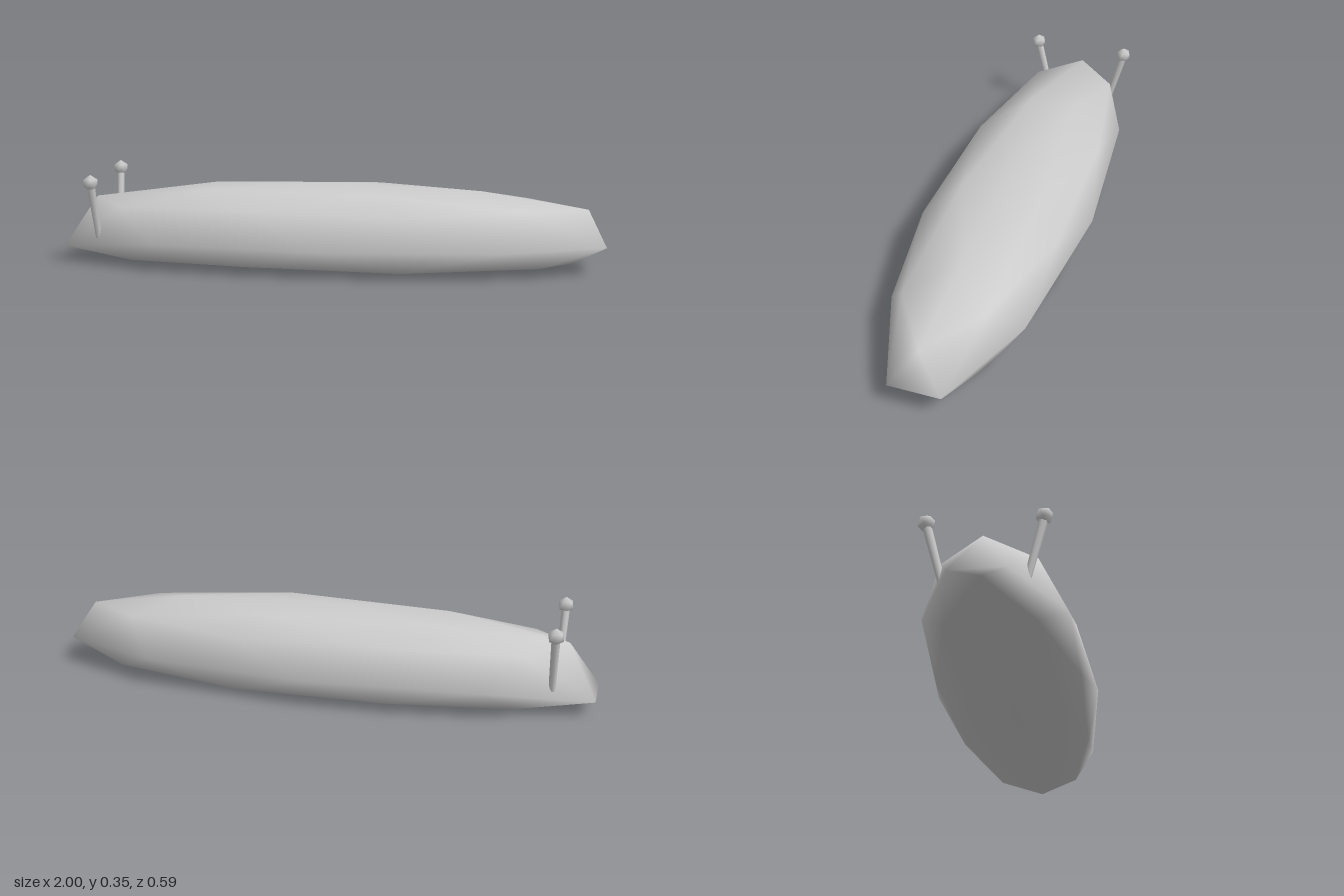
import * as THREE from 'three';
import { mergeVertices } from 'three/addons/utils/BufferGeometryUtils.js';

// Smooth icosphere with a vertex at each pole and one upper vertex towards +x
function icosphere(detail) {
  const g = new THREE.IcosahedronGeometry(1, detail);
  g.deleteAttribute('normal');
  g.deleteAttribute('uv');
  g.rotateZ(Math.atan(2 / (1 + Math.sqrt(5))));
  g.rotateY(Math.PI);
  return mergeVertices(g, 1e-3);
}

// Sphere height -> body height, with a flattened belly
const LEVELS = [
  [1, 0.308], [0.851, 0.285], [0.526, 0.237], [0.447, 0.225], [0, 0.105],
  [-0.447, 0.037], [-0.526, 0.025], [-0.851, 0.025], [-1, 0],
];
function bodyHeight(h) {
  return LEVELS.reduce((a, b) => (Math.abs(b[0] - h) < Math.abs(a[0] - h) ? b : a))[1];
}

function bodyGeometry() {
  const g = icosphere(1);
  const p = g.attributes.position;
  for (let i = 0; i < p.count; i++) {
    const x = p.getX(i), h = p.getY(i);
    let y = bodyHeight(h);
    // the head end dips to a low lip with a small hollow under it
    if (x < -0.94 && Math.abs(h) < 0.1) y = 0.06;
    if (x < -0.88 && h < -0.4) y = 0.07;
    p.setXYZ(i, x / 0.951, y, p.getZ(i) * 0.297);
  }
  g.computeVertexNormals();
  return g;
}

export function createModel() {
  const root = new THREE.Group();
  const skin = new THREE.MeshStandardMaterial({ color: 0xcccccc });
  skin.name = 'grey skin';

  const add = (geometry, name, parent) => {
    const mesh = new THREE.Mesh(geometry, skin);
    mesh.name = name;
    parent.add(mesh);
    return mesh;
  };

  add(bodyGeometry(), 'body', root);

  // Eye stalks, mirrored across the body
  const knobGeometry = icosphere(0);
  knobGeometry.computeVertexNormals();
  for (const side of [1, -1]) {
    const eye = new THREE.Group();
    eye.name = side > 0 ? 'frontEyeStalk' : 'backEyeStalk';
    root.add(eye);

    const foot = new THREE.Vector3(-0.852, 0.105, 0.132 * side);
    const tip = new THREE.Vector3(-0.858, 0.31, 0.184 * side);
    const along = tip.clone().sub(foot);
    const stalk = add(new THREE.CylinderGeometry(0.015, 0.012, along.length(), 8), 'stalk', eye);
    stalk.position.copy(foot).add(tip).multiplyScalar(0.5);
    stalk.quaternion.setFromUnitVectors(new THREE.Vector3(0, 1, 0), along.normalize());

    const knob = add(knobGeometry, 'knob', eye);
    knob.scale.setScalar(0.03);
    knob.position.set(-0.858, 0.317, 0.185 * side);
  }
  return root;
}
